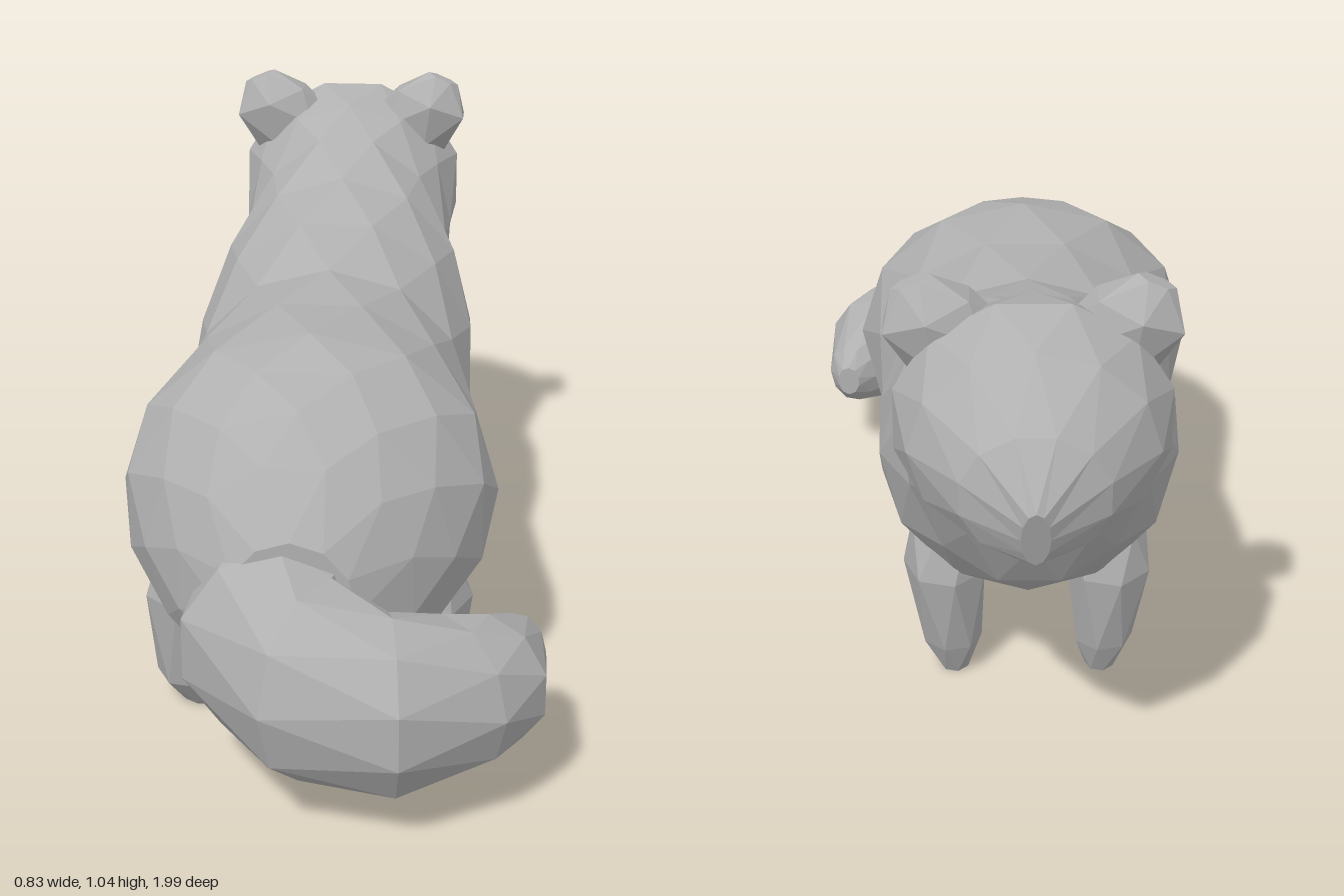
import * as THREE from 'three';

const fur = new THREE.MeshStandardMaterial({ color: 0xb0b0b0 });
fur.name = 'greyFur';

const MID = -0.05; // the body's line of symmetry in x
const vec = (a) => new THREE.Vector3(...a);

// Faceted skin over elliptical sections { c: centre, u, v: half axes }, each turned half a step
function loft(name, sections, sides) {
  const pos = [];
  const rings = sections.map(({ c, u, v }, i) =>
    Array.from({ length: sides }, (_, k) => {
      const a = ((k + (i % 2) / 2) / sides) * Math.PI * 2;
      return c.clone().addScaledVector(u, Math.cos(a) * 1.015).addScaledVector(v, Math.sin(a) * 1.015);
    }));
  const last = sections.length - 1;
  const axis = sections[1].c.clone().sub(sections[0].c);
  const flip = sections[0].u.clone().cross(sections[0].v).dot(axis) < 0;
  const tri = (a, b, c) => (flip ? [a, c, b] : [a, b, c]).forEach((p) => pos.push(p.x, p.y, p.z));
  for (let k = 0; k < sides; k++) {
    const n = (k + 1) % sides;
    for (let i = 0; i < last; i++) {
      const A = rings[i], B = rings[i + 1];
      if (i % 2 === 0) {
        tri(A[k], A[n], B[k]);
        tri(A[n], B[n], B[k]);
      } else {
        tri(A[k], B[n], B[k]);
        tri(A[k], A[n], B[n]);
      }
    }
    tri(sections[0].c, rings[0][n], rings[0][k]);
    tri(sections[last].c, rings[last][k], rings[last][n]);
  }
  const geo = new THREE.BufferGeometry();
  geo.setAttribute('position', new THREE.Float32BufferAttribute(pos, 3));
  geo.computeVertexNormals(); // unshared corners give flat facets
  const mesh = new THREE.Mesh(geo, fur);
  mesh.name = name;
  return mesh;
}

// Upright section of the trunk: z, top, bottom, half width, forward lean of the top
const trunk = ([z, top, bottom, w, lean = 0]) => ({
  c: vec([MID, (top + bottom) / 2, z]),
  u: vec([w, 0, 0]),
  v: vec([0, (top - bottom) / 2, -lean]),
});

// Level section of a leg: x, y, z, half width, half length
const level = (side) => ([x, y, z, w, d]) => ({
  c: vec([MID + side * x, y, z]),
  u: vec([w, 0, 0]),
  v: vec([0, 0, d]),
});

export function createModel() {
  const model = new THREE.Group();
  model.name = 'animal';

  // Nose to rump in one skin
  model.add(loft('headAndBody', [
    [-0.98, 0.78, 0.66, 0.025, 0.02],
    [-0.92, 0.885, 0.64, 0.13, 0.01],
    [-0.81, 0.975, 0.605, 0.215],
    [-0.69, 1.015, 0.565, 0.25],
    [-0.58, 0.98, 0.455, 0.232],
    [-0.5, 0.925, 0.325, 0.232],
    [-0.38, 0.86, 0.235, 0.285],
    [-0.22, 0.81, 0.19, 0.3],
    [-0.04, 0.755, 0.18, 0.295],
    [0.16, 0.755, 0.165, 0.32],
    [0.36, 0.755, 0.145, 0.36],
    [0.47, 0.725, 0.135, 0.345],
    [0.58, 0.68, 0.13, 0.285],
    [0.66, 0.61, 0.15, 0.22],
    [0.75, 0.5, 0.23, 0.12],
  ].map(trunk), 12));

  // Tail curling round to the left: x, y, z, half width, half height
  const path = [
    [-0.05, 0.32, 0.52, 0.18, 0.19],
    [-0.07, 0.29, 0.73, 0.185, 0.19],
    [0.0, 0.265, 0.81, 0.17, 0.185],
    [0.14, 0.245, 0.85, 0.15, 0.165],
    [0.25, 0.235, 0.775, 0.14, 0.14],
    [0.305, 0.23, 0.71, 0.125, 0.125],
    [0.36, 0.225, 0.58, 0.055, 0.07],
    [0.365, 0.225, 0.54, 0.025, 0.035],
  ];
  model.add(loft('tail', path.map(([x, y, z, w, h], i) => {
    const a = path[Math.max(i - 1, 0)], b = path[Math.min(i + 1, path.length - 1)];
    const across = new THREE.Vector3(b[2] - a[2], 0, a[0] - b[0]).setLength(w);
    return { c: vec([x, y, z]), u: across, v: vec([0, h, 0]) };
  }), 10));

  for (const side of [1, -1]) {
    const label = side > 0 ? 'left' : 'right';

    model.add(loft(label + 'FrontLeg', [
      [0.15, 0.005, -0.305, 0.03, 0.035],
      [0.155, 0.08, -0.31, 0.06, 0.065],
      [0.165, 0.26, -0.31, 0.085, 0.105],
      [0.165, 0.36, -0.31, 0.07, 0.08],
    ].map(level(side)), 7));

    model.add(loft(label + 'HindLeg', [
      [0.21, 0.005, 0.42, 0.04, 0.035],
      [0.215, 0.07, 0.43, 0.085, 0.08],
      [0.22, 0.25, 0.42, 0.1, 0.12],
      [0.2, 0.36, 0.42, 0.08, 0.09],
    ].map(level(side)), 7));

    // Ear leaning up and outwards: x, y, half axis x and y, half depth
    model.add(loft(label + 'Ear', [
      [0.13, 0.91, 0.08, -0.05, 0.055],
      [0.185, 0.98, 0.085, -0.035, 0.065],
      [0.212, 1.035, 0.033, -0.014, 0.022],
    ].map(([x, y, ux, uy, d]) => ({
      c: vec([MID + side * x, y, -0.65]),
      u: vec([side * ux, uy, 0]),
      v: vec([0, 0, d]),
    })), 6));
  }
  return model;
}
